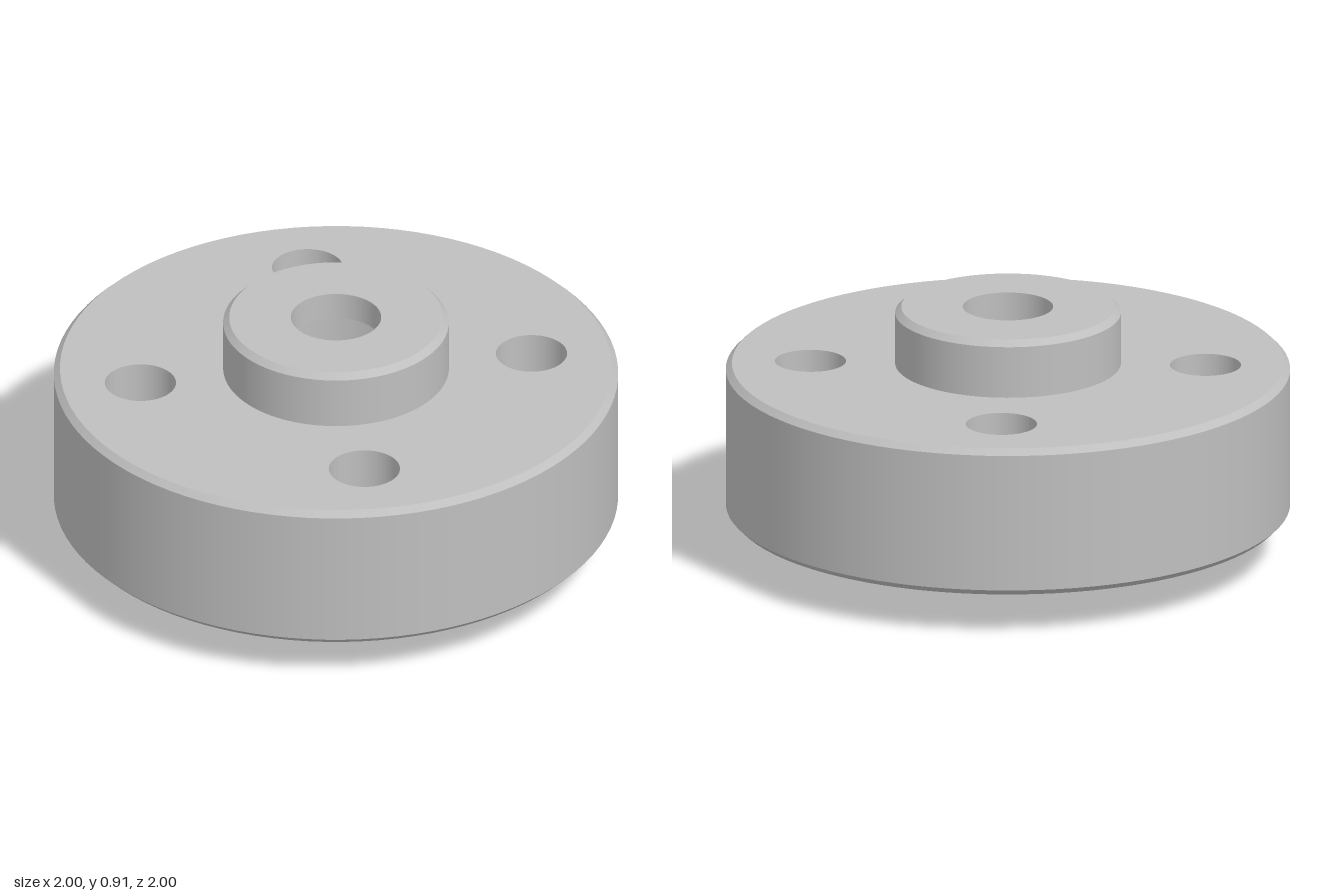
import * as THREE from 'three';
import { mergeGeometries } from 'three/addons/utils/BufferGeometryUtils.js';

const STEPS = 96;
const HUB_R = 0.4, FLANGE_R = 1, CHAMFER = 0.022;
const Y_LOW = 0.155, Y_HIGH = 0.7, Y_TOP = 0.91, Y_SHELF = 0.81;
const BORE_R = 0.16, BOLT_R = 0.126, BOLT_CIRCLE = 0.7;
const POCKET_R = 0.31, FLAT_DIST = 0.235;
const FLAT_ANGLE = THREE.MathUtils.degToRad(-10.4); // direction of the pocket flat, from +x towards +z
const FLAT_HALF = Math.acos(FLAT_DIST / POCKET_R);
const boltAngles = [0, 1, 2, 3].map(i => THREE.MathUtils.degToRad(34.6 + 90 * i));

// Turned surface with a sharp edge at every profile point
// (rising profiles face outward, falling ones inward)
function turned(points, start = 0, length = Math.PI * 2) {
  const bands = [];
  for (let i = 0; i + 1 < points.length; i++) {
    const pair = [points[i], points[i + 1]].map(p => new THREE.Vector2(...p));
    bands.push(new THREE.LatheGeometry(pair, STEPS, start, length));
  }
  return mergeGeometries(bands);
}

function circle(radius, x = 0, y = 0) {
  return new THREE.Path().absarc(x, y, radius, 0, Math.PI * 2, false);
}

// D-shaped outline, in x and z
function pocketOutline(path) {
  return path.absarc(0, 0, POCKET_R, FLAT_ANGLE + FLAT_HALF, FLAT_ANGLE - FLAT_HALF + Math.PI * 2, false);
}

// Level face at height y, looking up or down
function face(outline, holes, y, up) {
  outline.holes.push(...holes);
  return new THREE.ShapeGeometry(outline, 48).rotateX(up ? -Math.PI / 2 : Math.PI / 2).translate(0, y, 0);
}

function disc(radius) {
  return new THREE.Shape().absarc(0, 0, radius, 0, Math.PI * 2, false);
}

export function createModel() {
  const group = new THREE.Group();
  group.name = 'flangedHub';
  const metal = new THREE.MeshStandardMaterial({ color: 0xbfbfbf });
  metal.name = 'grey metal';
  const add = (name, geometry) => {
    const mesh = new THREE.Mesh(geometry, metal);
    mesh.name = name;
    group.add(mesh);
    return mesh;
  };

  // Flange rim with chamfered edges
  add('flangeRim', turned([
    [FLANGE_R - CHAMFER, Y_LOW], [FLANGE_R, Y_LOW + CHAMFER],
    [FLANGE_R, Y_HIGH - CHAMFER], [FLANGE_R - CHAMFER, Y_HIGH],
  ]));

  // Flange faces, pierced by the bolt holes and the hub
  for (const up of [true, false]) {
    const side = up ? -1 : 1;
    const holes = boltAngles.map(a =>
      circle(BOLT_R, BOLT_CIRCLE * Math.cos(a), side * BOLT_CIRCLE * Math.sin(a)));
    add(up ? 'flangeTop' : 'flangeUnderside',
      face(disc(FLANGE_R - CHAMFER), [...holes, circle(HUB_R)], up ? Y_HIGH : Y_LOW, up));
  }

  // Bolt hole walls
  const boltWall = turned([[BOLT_R, Y_HIGH], [BOLT_R, Y_LOW]]);
  for (const a of boltAngles) {
    add('boltHole', boltWall).position.set(BOLT_CIRCLE * Math.cos(a), 0, BOLT_CIRCLE * Math.sin(a));
  }

  // Upper hub and the narrow bore through it
  add('upperHub', turned([
    [HUB_R, Y_HIGH], [HUB_R, Y_TOP - CHAMFER], [HUB_R - CHAMFER, Y_TOP],
    [BORE_R, Y_TOP], [BORE_R, Y_SHELF],
  ]));

  // Lower hub
  add('lowerHub', turned([[HUB_R - CHAMFER, 0], [HUB_R, CHAMFER], [HUB_R, Y_LOW]]));
  add('lowerHubFace', face(disc(HUB_R - CHAMFER), [pocketOutline(new THREE.Path())], 0, false));

  // D-shaped pocket: curved wall, flat wall and ceiling
  const azimuth = Math.PI / 2 - FLAT_ANGLE;
  add('pocketWall', turned([[POCKET_R, Y_SHELF], [POCKET_R, 0]],
    azimuth + FLAT_HALF, Math.PI * 2 - 2 * FLAT_HALF));
  const flat = add('pocketFlat', new THREE.PlaneGeometry(2 * POCKET_R * Math.sin(FLAT_HALF), Y_SHELF));
  flat.position.set(FLAT_DIST * Math.cos(FLAT_ANGLE), Y_SHELF / 2, FLAT_DIST * Math.sin(FLAT_ANGLE));
  flat.rotation.y = azimuth + Math.PI;
  add('pocketCeiling', face(pocketOutline(new THREE.Shape()), [circle(BORE_R)], Y_SHELF, false));

  return group;
}
